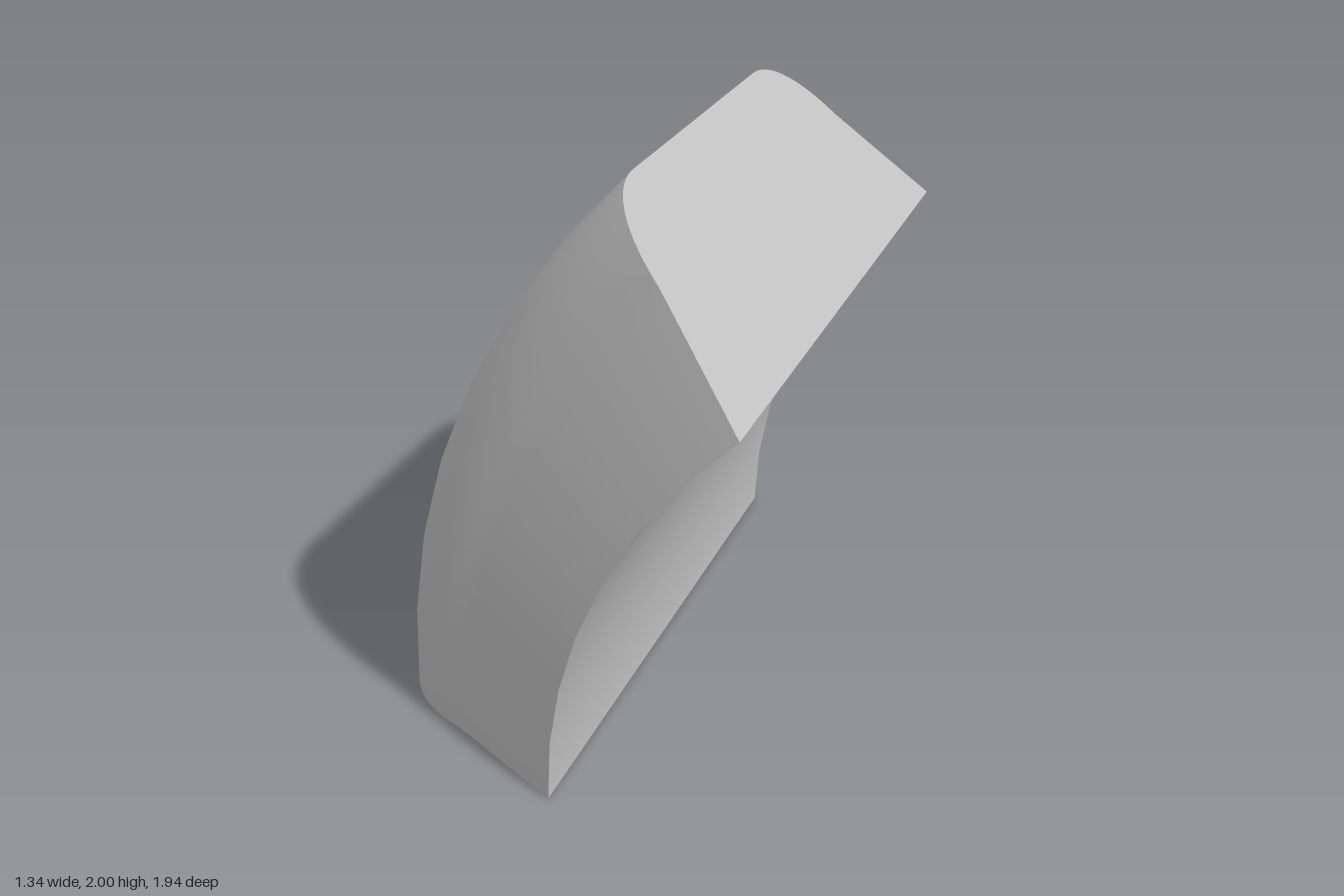
import * as THREE from 'three';

export function createModel() {
  const group = new THREE.Group();
  const grey = new THREE.MeshStandardMaterial({ color: 0xc0c0c0 });
  grey.name = 'plain grey';

  const centreX = 2.157;      // bend axis, parallel to z
  const bend = Math.PI / 4;
  const segments = 7;
  const inner = 2.1, outer = 2.828, halfWidth = 0.97;

  // Half of the cross-section as (radius, z): slanted flank, then rounded shoulder
  const shoulder = new THREE.CubicBezierCurve(
    new THREE.Vector2(2.588, 0.77), new THREE.Vector2(2.72, 0.725),
    new THREE.Vector2(outer, 0.63), new THREE.Vector2(outer, 0.49));
  const half = [
    new THREE.Vector2(inner, halfWidth),
    new THREE.Vector2(2.495, 0.803),
    new THREE.Vector2(2.535, 0.787),
    ...shoulder.getPoints(12),
  ];
  const mirrored = half.map(p => new THREE.Vector2(p.x, -p.y));
  const profile = [...mirrored, ...half.slice().reverse()];

  function add(name, geometry) {
    const mesh = new THREE.Mesh(geometry, grey);
    mesh.name = name;
    mesh.position.x = centreX;
    group.add(mesh);
  }

  // Sweep a profile around the bend axis
  const sweep = points =>
    new THREE.LatheGeometry(points, segments, -Math.PI / 2 - bend, bend).rotateX(Math.PI / 2);

  add('outerShell', sweep(profile));
  add('innerFace', sweep([
    new THREE.Vector2(inner, halfWidth),
    new THREE.Vector2(inner, -halfWidth),
  ]));

  // Flat ends
  const section = new THREE.Shape(profile.map(p => new THREE.Vector2(-p.x, p.y)));
  add('bottomEnd', new THREE.ShapeGeometry(section).rotateX(Math.PI / 2));
  add('topEnd', new THREE.ShapeGeometry(section).rotateX(-Math.PI / 2).rotateZ(-bend));

  return group;
}
